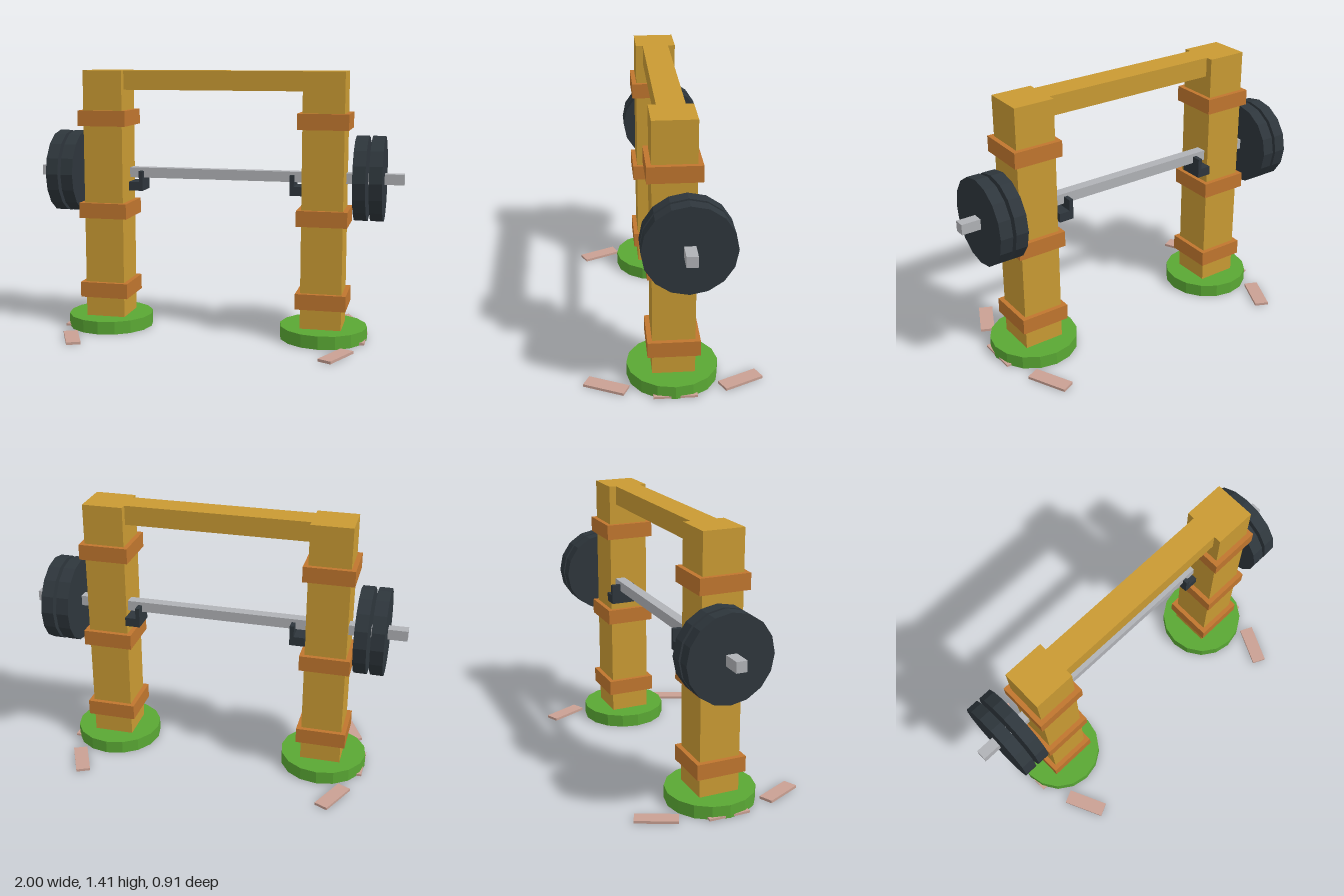
import * as THREE from 'three';

const mat = (name, color) => {
  const m = new THREE.MeshStandardMaterial({ color, flatShading: true });
  m.name = name;
  return m;
};

export function createModel() {
  const wood = mat('golden wood', 0xc99a33);
  const strap = mat('copper strap', 0xc0762e);
  const green = mat('green', 0x5aa834);
  const steel = mat('bar steel', 0xb0b2b6);
  const iron = mat('dark iron', 0x2e363c);
  const pink = mat('dusty pink', 0xc9a093);

  const model = new THREE.Group();
  model.name = 'barbellRack';

  const add = (name, geometry, material, x, y, z) => {
    const mesh = new THREE.Mesh(geometry, material);
    mesh.name = name;
    mesh.position.set(x, y, z);
    model.add(mesh);
    return mesh;
  };
  const box = (name, material, w, h, d, x, y, z) =>
    add(name, new THREE.BoxGeometry(w, h, d), material, x, y, z);

  const postX = 0.593, barY = 0.857, barZ = -0.053;

  // Beam joining the posts, and the square bar
  box('topBeam', wood, 0.97, 0.103, 0.14, 0, 1.3635, 0);
  box('bar', steel, 2, 0.055, 0.055, 0, barY, barZ);

  for (const s of [-1, 1]) {
    const side = s > 0 ? 'left' : 'right';

    // Round foot and square post with three straps
    add(side + 'Foot', new THREE.CylinderGeometry(0.233, 0.233, 0.07, 16), green, s * 0.596, 0.035, 0);
    box(side + 'Post', wood, 0.216, 1.355, 0.216, s * postX, 0.7375, 0);
    for (const y of [0.22, 0.66, 1.16]) {
      box(side + 'Strap', strap, 0.265, 0.083, 0.265, s * postX, y, 0);
    }

    // Hook: a shelf and an upright lip at its inner end
    box(side + 'HookShelf', iron, 0.08, 0.048, 0.13, s * 0.446, 0.783, -0.065);
    box(side + 'HookLip', iron, 0.022, 0.06, 0.13, s * 0.417, 0.837, -0.065);

    // Two weight plates; a corner points straight up
    for (const x of [0.782, 0.866]) {
      const plate = add(side + 'WeightPlate', new THREE.CylinderGeometry(0.225, 0.225, 0.066, 16), iron, s * x, barY, barZ);
      plate.rotation.z = Math.PI / 2;
    }

    // Flat slabs on the ground around the foot
    box(side + 'OuterSlab', pink, 0.075, 0.012, 0.22, s * 0.787, 0.008, 0);
    for (const f of [-1, 1]) {
      const slab = box(side + 'CornerSlab', pink, 0.075, 0.014, 0.22, s * 0.702, 0.007, f * 0.34);
      slab.rotation.y = -s * f * 0.44;
    }
  }
  return model;
}
